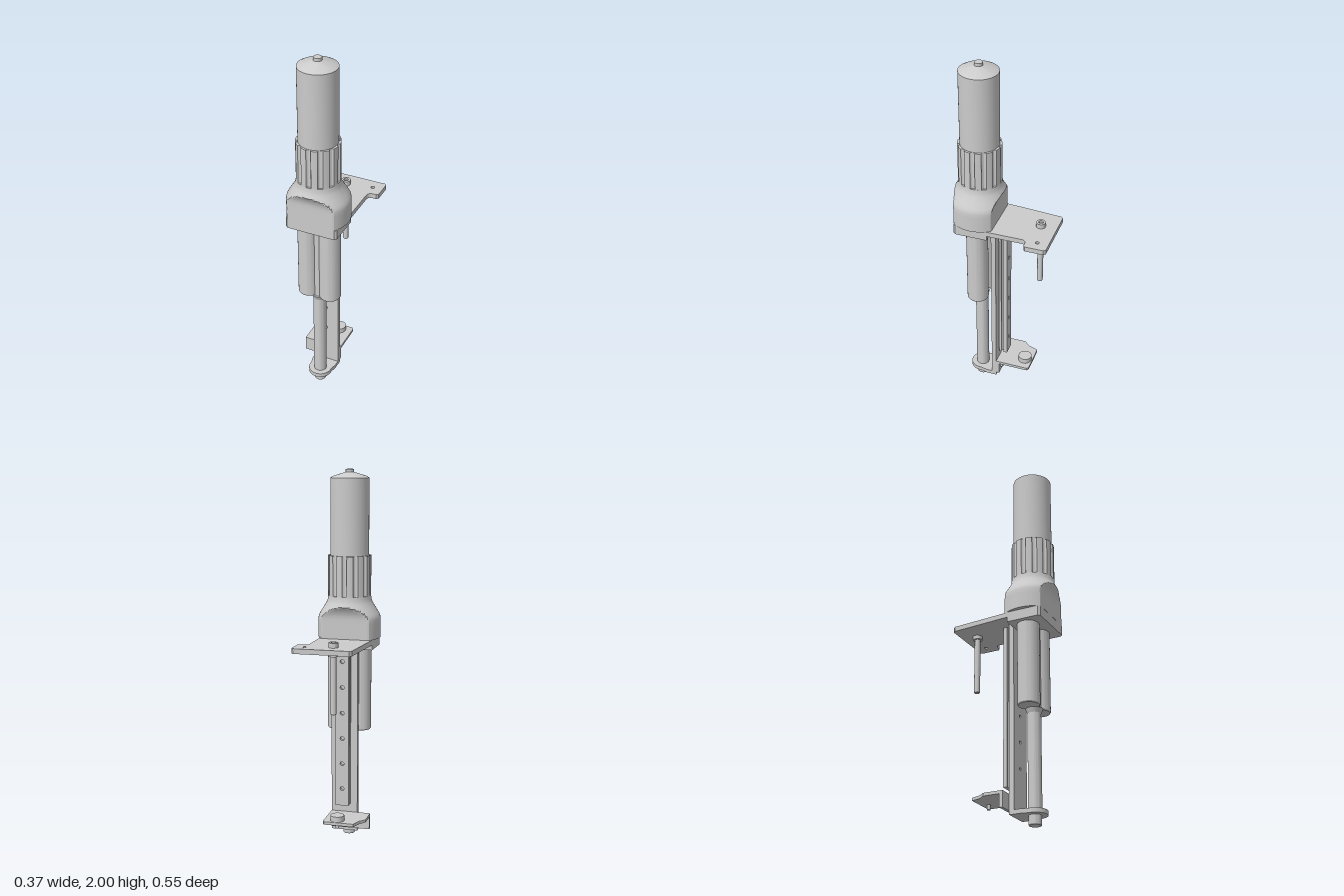
import * as THREE from 'three';
import { toCreasedNormals } from 'three/addons/utils/BufferGeometryUtils.js';

const AX = -0.018, AZ = 0.143; // main axis
const grey = new THREE.MeshStandardMaterial({ color: 0xcccccc, side: THREE.DoubleSide });

export function createModel() {
  const root = new THREE.Group();

  const add = (name, geo, x = 0, y = 0, z = 0) => {
    const m = new THREE.Mesh(geo, grey);
    m.name = name;
    m.position.set(x, y, z);
    root.add(m);
    return m;
  };
  const box = (name, x0, x1, y0, y1, z0, z1) =>
    add(name, new THREE.BoxGeometry(x1 - x0, y1 - y0, z1 - z0), (x0 + x1) / 2, (y0 + y1) / 2, (z0 + z1) / 2);
  // Solid of revolution from [radius, y] pairs
  const turned = (name, profile, x = AX, z = AZ, seg = 48) =>
    add(name, toCreasedNormals(new THREE.LatheGeometry(profile.map(p => new THREE.Vector2(...p)), seg), 0.5), x, 0, z);
  const rod = (name, r, y0, y1, x, z) => turned(name, [[0, y0], [r, y0], [r, y1], [0, y1]], x, z, 32);
  const circle = (x, y, r) => new THREE.Path().absarc(x, y, r, 0, Math.PI * 2, true);
  // Horizontal plate from an outline in plan (x, z)
  const plan = (name, shape, y0, y1) => {
    const geo = new THREE.ExtrudeGeometry(shape, { depth: y1 - y0, bevelEnabled: false, curveSegments: 12 });
    return add(name, toCreasedNormals(geo.rotateX(-Math.PI / 2), 0.5), 0, y0, 0);
  };
  const outline = pts => new THREE.Shape(pts.map(([x, z]) => new THREE.Vector2(x, -z)));
  // Upright strip with a row of holes
  const holeYs = [0.3, 0.44, 0.58, 0.72, 0.86, 1.0];
  const strip = (name, halfWidth, y0, y1, z0, z1, r) => {
    const s = new THREE.Shape([[-1, y0], [1, y0], [1, y1], [-1, y1]].map(([k, y]) => new THREE.Vector2(AX + k * halfWidth, y)));
    holeYs.forEach(y => s.holes.push(circle(AX, y, r)));
    const geo = new THREE.ExtrudeGeometry(s, { depth: z1 - z0, bevelEnabled: false, curveSegments: 10 });
    return add(name, toCreasedNormals(geo, 0.5), 0, 0, z0);
  };

  // Motor can with conical top and small tip
  turned('motorCan', [[0, 1.5], [0.103, 1.5], [0.103, 1.955], [0.085, 1.965], [0.022, 1.984], [0.022, 2], [0, 2]]);

  // Grip sleeve with twelve scalloped grooves
  const sleeve = new THREE.Shape();
  const R = 0.115, N = 12, half = 0.115, steps = 8;
  for (let i = 0; i < N; i++) {
    const a = (i / N) * Math.PI * 2;
    for (let k = 0; k <= steps; k++) {
      const t = -1 + (2 * k) / steps, r = R - 0.011 * Math.sqrt(1 - t * t);
      const x = AX + r * Math.cos(a + t * half), y = -AZ + r * Math.sin(a + t * half);
      if (i + k === 0) sleeve.moveTo(x, y); else sleeve.lineTo(x, y);
    }
    for (let k = 1; k < 4; k++) {
      const b = a + half + (k / 4) * (Math.PI * 2 / N - 2 * half);
      sleeve.lineTo(AX + R * Math.cos(b), -AZ + R * Math.sin(b));
    }
  }
  plan('gripSleeve', sleeve, 1.335, 1.55);

  // Gear housing: flared round body, cut front and back by curved faces
  const rows = [[0, 1, 1.11], [0.167, 0.105, 1.11], [0.167, 0.105, 1.19], [0.167, 0.105, 1.215], [0.164, 0.106, 1.23],
    [0.157, 0.109, 1.243], [0.149, 0.114, 1.256], [0.141, 0.121, 1.269], [0.136, 0.127, 1.277], [0.132, 0.132, 1.284],
    [0.123, 0.132, 1.3], [0.117, 0.132, 1.315], [0.115, 0.132, 1.336], [0, 1, 1.336]];
  const seg = 96, pos = [], idx = [];
  rows.forEach(([r, cut, y], j) => {
    for (let i = 0; i <= seg; i++) {
      const a = (i / seg) * Math.PI * 2;
      pos.push(r * Math.cos(a), y, THREE.MathUtils.clamp(r * Math.sin(a), -cut, cut));
      if (j && i) {
        const d = j * (seg + 1) + i, c = d - 1, b = d - seg - 1, e = b - 1;
        idx.push(e, c, b, b, c, d);
      }
    }
  });
  const housing = new THREE.BufferGeometry();
  housing.setAttribute('position', new THREE.Float32BufferAttribute(pos, 3));
  housing.setIndex(idx);
  add('gearHousing', toCreasedNormals(housing, 0.5), AX, 0, AZ);

  // Mounting block under the housing
  plan('mountBlock', outline([[-0.162, 0.06], [-0.162, 0.235], [-0.15, 0.247], [0.115, 0.247], [0.126, 0.235], [0.126, 0.06]]), 1.055, 1.11);

  // Top plate with side tab and hole
  const top = outline([[-0.162, 0.07], [-0.135, -0.265], [-0.124, -0.277], [0.172, -0.277], [0.183, -0.266],
    [0.183, -0.167], [0.173, -0.157], [0.155, -0.157]]);
  top.quadraticCurveTo(0.127, 0.157, 0.127, 0.129);
  top.lineTo(0.127, -0.07);
  top.holes.push(circle(0.127, 0.217, 0.01));
  plan('topPlate', top, 1.082, 1.109);

  // Hanging bolt through the top plate
  turned('hangingBolt', [[0, 0.755], [0.013, 0.755], [0.016, 0.76], [0.016, 1.062], [0.025, 1.062], [0.025, 1.082],
    [0.025, 1.135], [0.013, 1.135], [0.013, 1.125], [0, 1.125]], AX, -0.19, 32);

  // Twin lower barrels and the central spindle
  for (const s of [-1, 1])
    turned('lowerBarrel', [[0, 0.603], [0.054, 0.603], [0.058, 0.609], [0.058, 1.056], [0, 1.056]], AX + s * 0.062, AZ);
  turned('barrelNeck', [[0, 0.578], [0.035, 0.578], [0.045, 0.604], [0, 0.604]]);
  turned('spindle', [[0, 0], [0.031, 0], [0.033, 0.003], [0.033, 0.05], [0.035, 0.05], [0.035, 1.06], [0, 1.06]]);

  // Back plate and slotted rail
  strip('backPlate', 0.072, 0.07, 1.083, 0.037, 0.063, 0.008);
  box('railWaist', AX - 0.022, AX + 0.022, 0.205, 1.083, 0.005, 0.038);
  box('railFlange', AX - 0.036, AX + 0.036, 0.205, 1.083, 0.018, 0.031);
  strip('railFace', 0.036, 0.205, 1.083, -0.015, 0.006, 0.011);

  // Foot clamp rounded about the spindle
  const foot = new THREE.Shape();
  foot.moveTo(0.054, -0.037);
  foot.lineTo(-0.09, -0.037);
  foot.lineTo(-0.09, -0.1);
  foot.absarc(AX, -AZ, 0.064, Math.PI * 0.95, Math.PI * 2.05, false);
  foot.lineTo(0.054, -0.1);
  plan('footClamp', foot, 0.05, 0.073);

  // Angle bracket at the bottom with two screws, bolt and knob
  box('bracketFlange', -0.162, 0.054, 0.07, 0.155, 0.02, 0.037);
  plan('bracketShelf', outline([[-0.162, 0.037], [0.054, 0.037], [0.054, -0.145], [0.044, -0.155], [-0.115, -0.155],
    [-0.135, -0.1], [-0.162, -0.068]]), 0.139, 0.155);
  for (const s of [-1, 1]) {
    const screw = new THREE.CylinderGeometry(0.01, 0.01, 0.014, 20).rotateX(Math.PI / 2);
    add('flangeScrew', screw, AX + s * 0.04, 0.105, 0.014);
  }
  rod('bracketKnob', 0.037, 0.155, 0.184, AX, -0.113);
  rod('bracketBolt', 0.009, 0.112, 0.16, AX, -0.113);

  return root;
}
